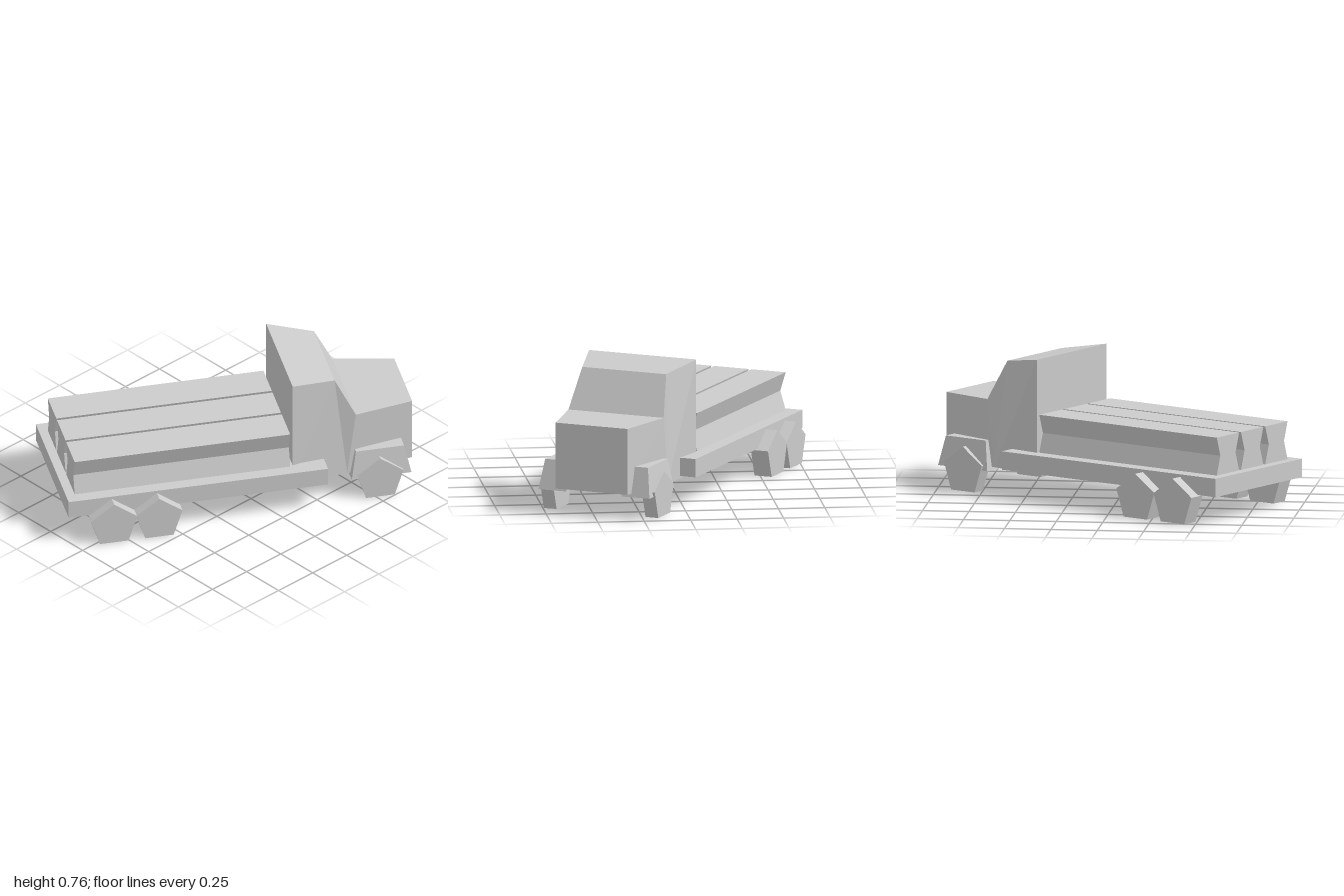
import * as THREE from 'three';

const material = new THREE.MeshStandardMaterial({ color: 0xcccccc, flatShading: true });

// Skin of four-cornered rings running from back (+z) to front (-z), closed at both ends.
// Ring corners: bottom left, bottom right, top right, top left, seen from the back.
function loft(rings) {
  const pos = [];
  const quad = (a, b, c, d) => pos.push(...a, ...b, ...c, ...a, ...c, ...d);
  for (let i = 0; i < rings.length - 1; i++) {
    for (let j = 0; j < 4; j++) {
      const k = (j + 1) % 4;
      quad(rings[i][j], rings[i + 1][j], rings[i + 1][k], rings[i][k]);
    }
  }
  quad(...rings[0]);
  quad(...[...rings[rings.length - 1]].reverse());
  const geometry = new THREE.BufferGeometry();
  geometry.setAttribute('position', new THREE.Float32BufferAttribute(pos, 3));
  geometry.computeVertexNormals();
  return geometry;
}

// Ring with separate depth for its bottom and top edges
const ring = (bl, br, yb, zb, tl, tr, yt, zt) =>
  [[bl, yb, zb], [br, yb, zb], [tr, yt, zt], [tl, yt, zt]];

export function createModel() {
  const model = new THREE.Group();
  model.name = 'truck';
  const body = new THREE.Group();
  body.name = 'truckBody';
  body.rotation.y = -Math.PI / 6; // parked at an angle
  model.add(body);

  const add = (name, geometry, x = 0, y = 0, z = 0) => {
    const mesh = new THREE.Mesh(geometry, material);
    mesh.name = name;
    mesh.position.set(x, y, z);
    body.add(mesh);
    return mesh;
  };
  const mid = 0.016; // centre line

  // Flat bed
  add('flatBed', new THREE.BoxGeometry(0.775, 0.1, 1.425), mid, 0.205, 0.2075);

  // Cab with roof, windscreen and bonnet
  const sym = (hb, zb, ht, yt, zt) => ring(-hb, hb, 0.14, zb, -ht, ht, yt, zt);
  add('cab', loft([
    sym(0.312, -0.328, 0.312, 0.76, -0.328),
    sym(0.282, -0.634, 0.245, 0.72, -0.574),
    sym(0.282, -0.634, 0.278, 0.505, -0.683),
    sym(0.21, -1.008, 0.21, 0.5, -1.008),
  ]), mid);

  // Three cargo beams with pinched sides
  const profile = new THREE.Shape([
    [-0.1, 0.257], [0.1, 0.257], [0.068, 0.36], [0.1, 0.463], [-0.1, 0.463], [-0.068, 0.36],
  ].map(([x, y]) => new THREE.Vector2(x, y)));
  const beam = new THREE.ExtrudeGeometry(profile, { depth: 1.184, bevelEnabled: false });
  for (const i of [-1, 0, 1]) add('cargoBeam', beam, 0.022 + i * 0.217, 0, -0.312);

  // Five-sided wheels standing on a flat edge
  const wheel = (name, x, z, width) => {
    const geometry = new THREE.CylinderGeometry(0.133, 0.133, width, 5);
    geometry.rotateX(Math.PI / 2).rotateZ(Math.PI).rotateY(Math.PI / 2);
    geometry.computeBoundingBox();
    // keep the point of the pentagon at the top
    if (geometry.boundingBox.max.y < 0.12) geometry.rotateX(Math.PI);
    add(name, geometry, x, 0.108, z);
  };

  for (const s of [-1, 1]) {
    for (const z of [0.683, 0.435]) wheel('rearWheel', 0.012 + s * 0.4, z, 0.1);
    wheel('frontWheel', mid + s * 0.297, -0.805, 0.075);

    // Tapered mudguard over each front wheel
    const span = (inner, outer) => (s > 0 ? [inner, outer] : [-outer, -inner]);
    const low = span(0.162, 0.324), high = span(0.162, 0.3);
    add('frontMudguard', loft([
      ring(...low, 0.122, -0.65, ...high, 0.283, -0.678),
      ring(...low, 0.122, -0.978, ...high, 0.283, -0.943),
    ]), mid);
  }
  return model;
}
